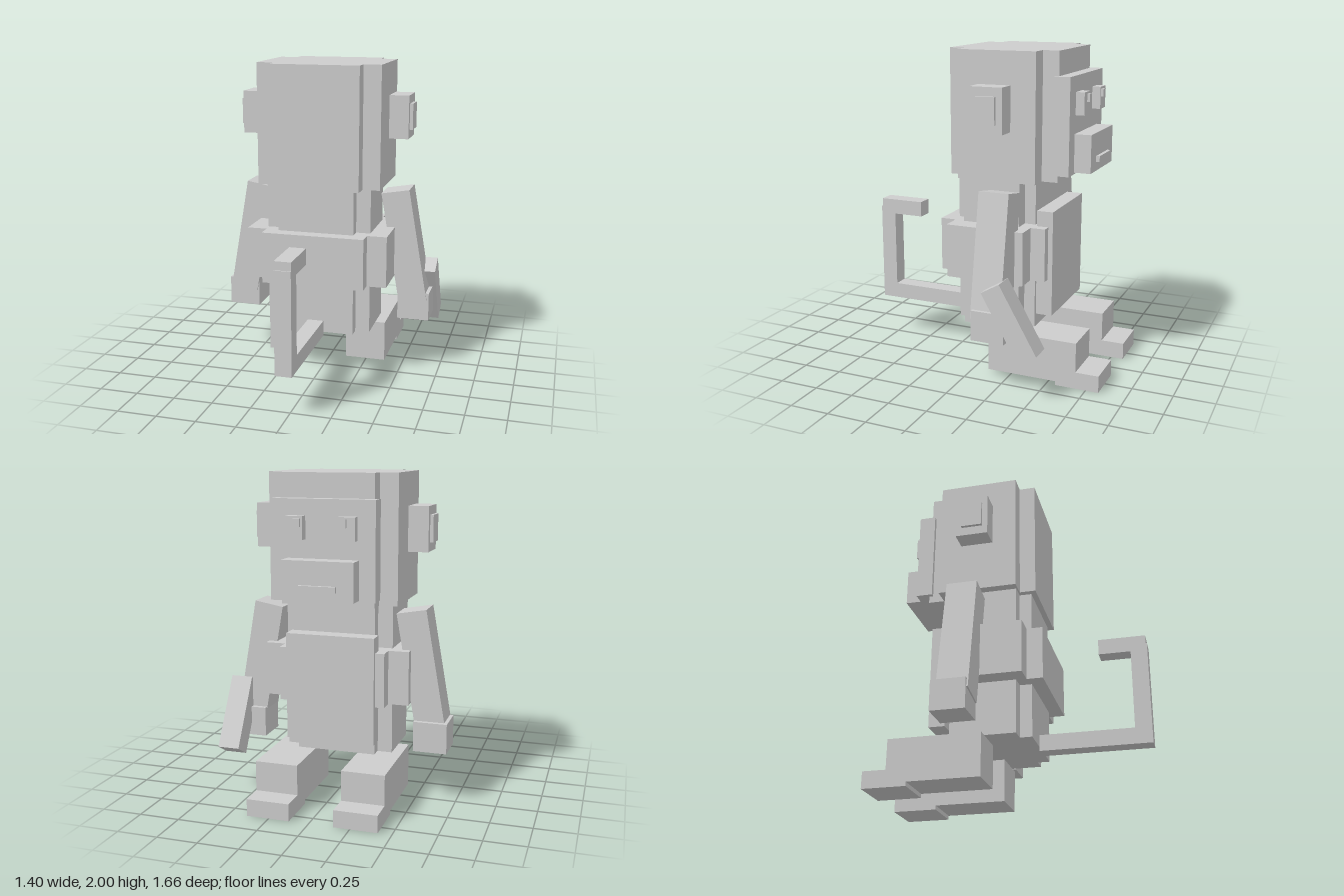
import * as THREE from 'three';

export function createModel() {
  const model = new THREE.Group();
  const grey = new THREE.MeshStandardMaterial({ color: 0xcccccc });
  grey.name = 'light grey';

  // box from its extents on x, y and z
  const block = (name, [x0, x1], [y0, y1], [z0, z1]) => {
    const mesh = new THREE.Mesh(new THREE.BoxGeometry(x1 - x0, y1 - y0, z1 - z0), grey);
    mesh.position.set((x0 + x1) / 2, (y0 + y1) / 2, (z0 + z1) / 2);
    mesh.name = name;
    model.add(mesh);
    return mesh;
  };

  // the body's mirror plane sits slightly off x = 0
  const mid = -0.015;
  const centred = (name, half, y, z) => block(name, [mid - half, mid + half], y, z);
  const pair = (name, inner, outer, y, z) => {
    block('left' + name, [mid + inner, mid + outer], y, z);
    block('right' + name, [mid - outer, mid - inner], y, z);
  };

  // head: two crossed boxes give the notched corners
  centred('headWide', 0.397, [1.23, 2], [-0.41, 0.085]);
  centred('headDeep', 0.285, [1.23, 2], [-0.51, 0.185]);

  // face, looking towards -z
  centred('face', 0.312, [1.275, 1.855], [-0.587, -0.485]);
  centred('muzzle', 0.216, [1.285, 1.515], [-0.69, -0.58]);
  centred('mouth', 0.113, [1.34, 1.375], [-0.712, -0.69]);
  pair('Eye', 0.105, 0.207, [1.625, 1.76], [-0.64, -0.587]);
  pair('Pupil', 0.116, 0.158, [1.7, 1.748], [-0.656, -0.64]);

  // ears
  pair('Ear', 0.418, 0.541, [1.535, 1.805], [-0.263, -0.06]);
  pair('InnerEar', 0.541, 0.561, [1.59, 1.752], [-0.225, -0.095]);

  // torso, waist band and belly plate
  centred('torsoWide', 0.338, [0.29, 1.23], [-0.29, 0.075]);
  centred('torsoDeep', 0.246, [0.29, 1.23], [-0.36, 0.15]);
  centred('bandWide', 0.456, [0.62, 0.95], [-0.36, 0.137]);
  centred('bandDeep', 0.33, [0.62, 0.95], [-0.453, 0.235]);
  centred('belly', 0.275, [0.39, 1.045], [-0.482, -0.38]);

  // arms splayed outwards, with hands
  for (const side of [1, -1]) {
    const arm = centred(side > 0 ? 'leftArm' : 'rightArm', 0.092, [0.44, 1.19], [-0.308, -0.118]);
    arm.position.x = mid + side * 0.52;
    arm.rotation.z = side * THREE.MathUtils.degToRad(10);
  }
  pair('Hand', 0.482, 0.688, [0.33, 0.515], [-0.336, -0.127]);

  // tilted item in the left hand
  const item = block('heldItem', [0.562, 0.698], [0.24, 0.706], [-0.443, -0.312]);
  item.rotation.x = THREE.MathUtils.degToRad(30);

  // feet with toes
  pair('Foot', 0.137, 0.402, [0.025, 0.29], [-0.685, -0.115]);
  pair('Toes', 0.137, 0.402, [0, 0.105], [-0.83, -0.557]);

  // hooked tail
  centred('tailBase', 0.052, [0.265, 0.365], [0.15, 0.83]);
  centred('tailRise', 0.052, [0.265, 0.905], [0.728, 0.83]);
  centred('tailTip', 0.052, [0.86, 0.958], [0.53, 0.822]);

  return model;
}
